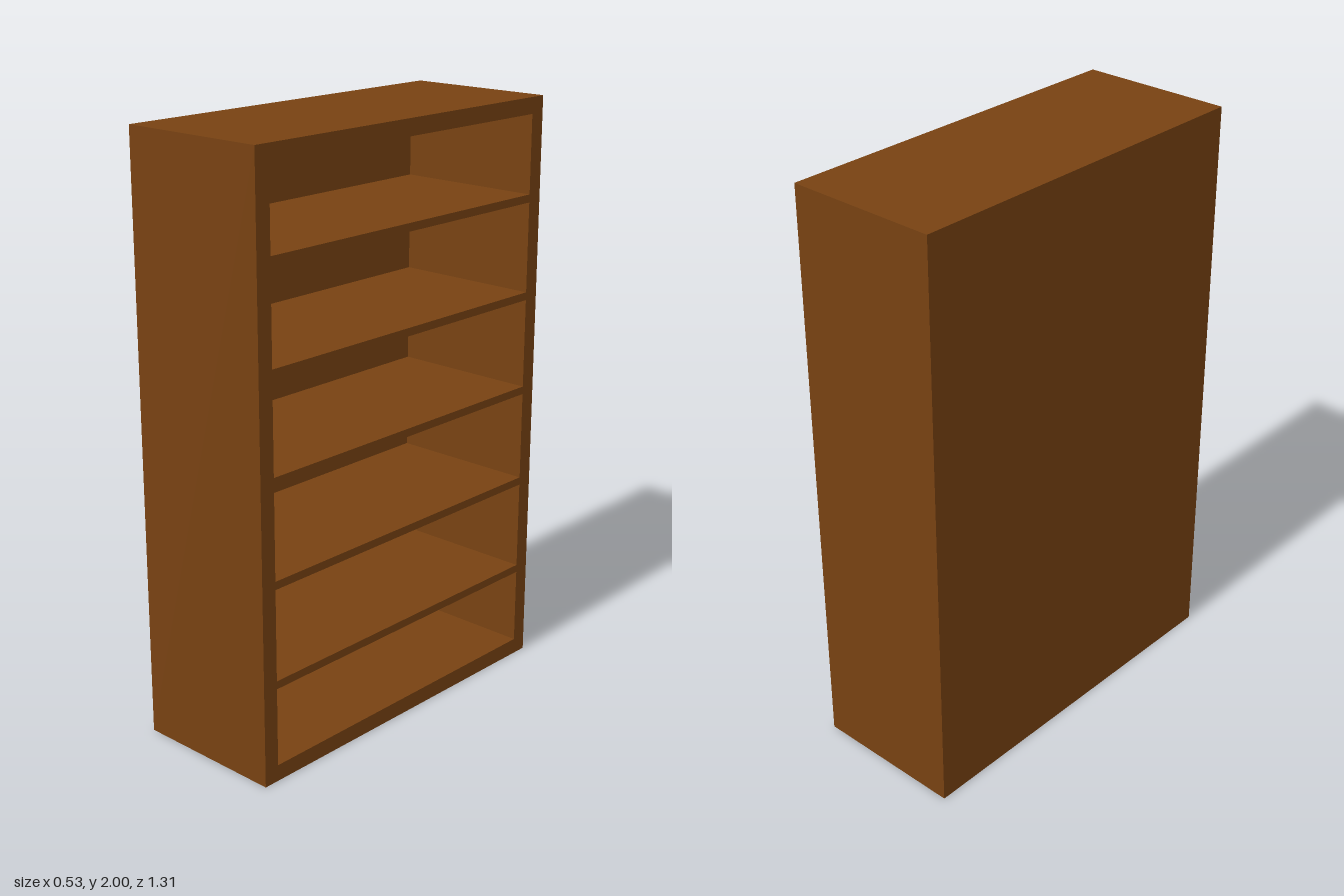
import * as THREE from 'three';

// Bookcase: the open side faces +x
const HEIGHT = 2, WIDTH = 1.311, DEPTH = 0.528;
const WALL = 0.055, SHELF = 0.027, BACK = 0.006;
const BAYS = 6;

export function createModel() {
  const group = new THREE.Group();
  group.name = 'bookcase';
  const wood = new THREE.MeshStandardMaterial({ color: 0x784212 });

  const add = (name, geometry, x, y, z) => {
    const mesh = new THREE.Mesh(geometry, wood);
    mesh.name = name;
    mesh.position.set(x, y, z);
    group.add(mesh);
  };

  // Rectangle centred on the origin
  const rectangle = (PathType, w, h) => new PathType([
    new THREE.Vector2(-w / 2, -h / 2), new THREE.Vector2(w / 2, -h / 2),
    new THREE.Vector2(w / 2, h / 2), new THREE.Vector2(-w / 2, h / 2),
  ]);
  const innerWidth = WIDTH - 2 * WALL, innerHeight = HEIGHT - 2 * WALL;

  // Outer frame: sides, top and bottom as one ring, extruded along x
  const ring = rectangle(THREE.Shape, WIDTH, HEIGHT);
  ring.holes.push(rectangle(THREE.Path, innerWidth, innerHeight));
  const frame = new THREE.ExtrudeGeometry(ring, { depth: DEPTH, bevelEnabled: false });
  frame.translate(0, 0, -DEPTH / 2).rotateY(Math.PI / 2);
  add('frame', frame, 0, HEIGHT / 2, 0);

  // Thin back panel let into the frame, flush with the closed side
  add('backPanel', new THREE.BoxGeometry(BACK, innerHeight, innerWidth),
    -DEPTH / 2 + BACK / 2, HEIGHT / 2, 0);

  // Evenly spaced shelves, flush with the open side
  const shelf = new THREE.BoxGeometry(DEPTH - BACK, SHELF, innerWidth);
  for (let i = 1; i < BAYS; i++) {
    add(`shelf${i}`, shelf, BACK / 2, (HEIGHT * i) / BAYS, 0);
  }

  return group;
}
